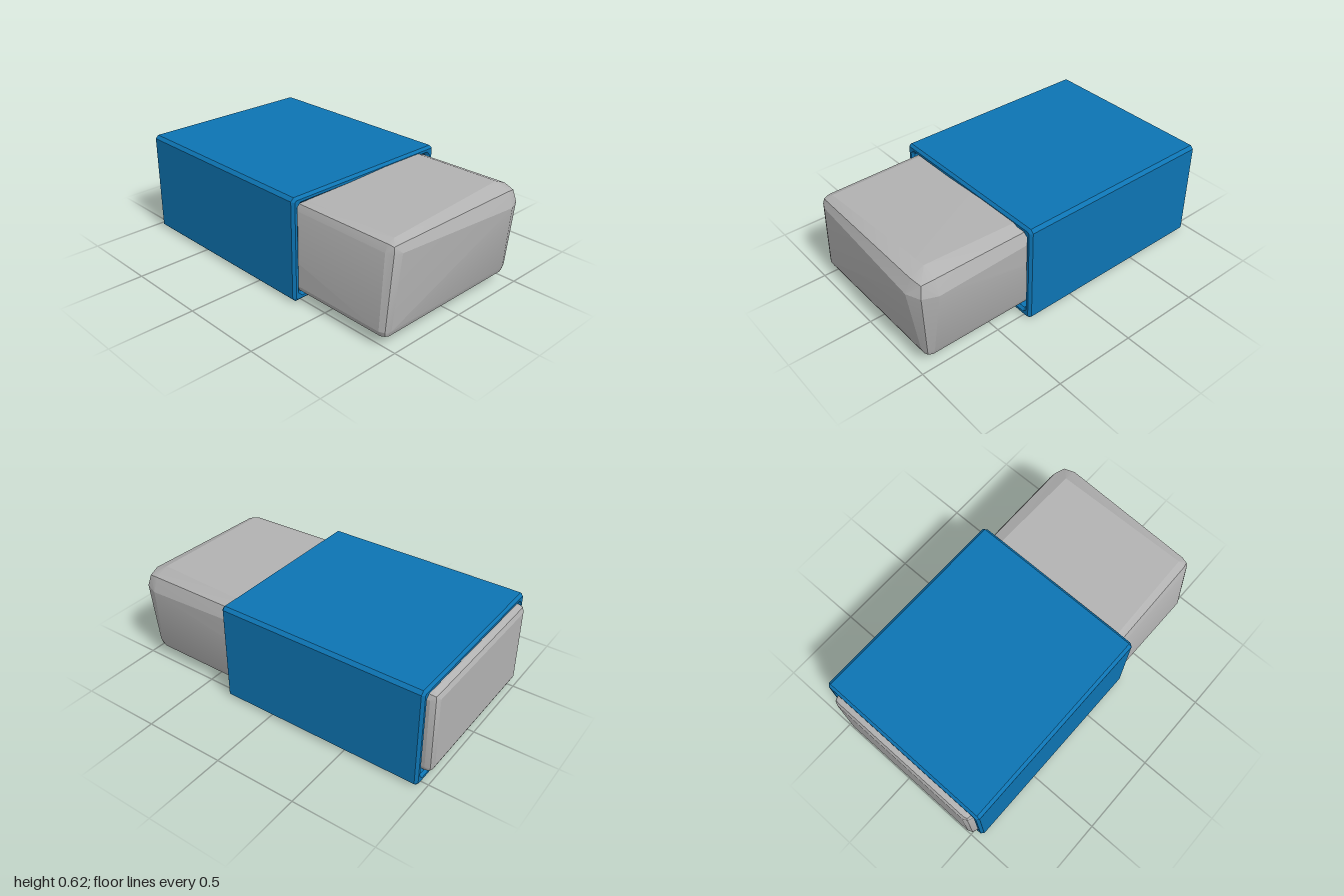
import * as THREE from 'three';
import { toCreasedNormals } from 'three/addons/utils/BufferGeometryUtils.js';
import { ConvexGeometry } from 'three/addons/geometries/ConvexGeometry.js';

const sleeveBlue = new THREE.MeshStandardMaterial({ color: 0x0d74b3 });
sleeveBlue.name = 'sleeve blue';
const rubberGrey = new THREE.MeshStandardMaterial({ color: 0xb2b2b2 });
rubberGrey.name = 'rubber grey';

// Rectangle outline with chamfered corners
function chamferedRect(PathType, w, h, c) {
  const pts = [
    [w - c, -h], [w, -h + c], [w, h - c], [w - c, h],
    [-w + c, h], [-w, h - c], [-w, -h + c], [-w + c, -h],
  ].map(([x, y]) => new THREE.Vector2(x, y));
  return new PathType(pts);
}

// Open-ended card sleeve with bevelled rims
function createSleeve() {
  const bevel = 0.015;
  const shape = chamferedRect(THREE.Shape, 0.54, 0.295, 0.01);
  shape.holes.push(chamferedRect(THREE.Path, 0.525, 0.28, 0.025));
  const geo = new THREE.ExtrudeGeometry(shape, {
    depth: 1.25, bevelEnabled: true, bevelSize: bevel,
    bevelThickness: bevel, bevelSegments: 1,
  });
  geo.rotateY(Math.PI / 2);
  geo.translate(-0.945, 0.31, 0);
  const mesh = new THREE.Mesh(geo, sleeveBlue);
  mesh.name = 'sleeve';
  return mesh;
}

// Worn, slightly skewed rubber block: each corner has its own rounding
function createBlock() {
  // x, y, z of the corner, then its rounding radius
  const corners = [
    [1.0, 0.612, -0.525, 0.12], [0.965, 0.58, 0.49, 0.06],
    [0.955, 0.05, 0.525, 0.045], [0.955, 0.05, -0.485, 0.05],
    [-1.0, 0.575, -0.49, 0.04], [-1.0, 0.575, 0.515, 0.04],
    [-1.0, 0.05, 0.52, 0.04], [-1.0, 0.05, -0.485, 0.04],
  ];
  const points = [];
  for (const [x, y, z, r] of corners) {
    const sign = new THREE.Vector3(Math.sign(x), y > 0.3 ? 1 : -1, Math.sign(z));
    for (let i = 1; i < 8; i++) {
      const dir = new THREE.Vector3(i & 1, (i >> 1) & 1, (i >> 2) & 1).normalize();
      const inset = dir.subScalar(1).multiplyScalar(r).multiply(sign);
      points.push(new THREE.Vector3(x, y, z).add(inset));
    }
  }
  const geo = toCreasedNormals(new ConvexGeometry(points), 0.35);
  const mesh = new THREE.Mesh(geo, rubberGrey);
  mesh.name = 'rubberBlock';
  return mesh;
}

export function createModel() {
  const group = new THREE.Group();
  group.name = 'eraser';
  group.add(createSleeve(), createBlock());
  return group;
}
